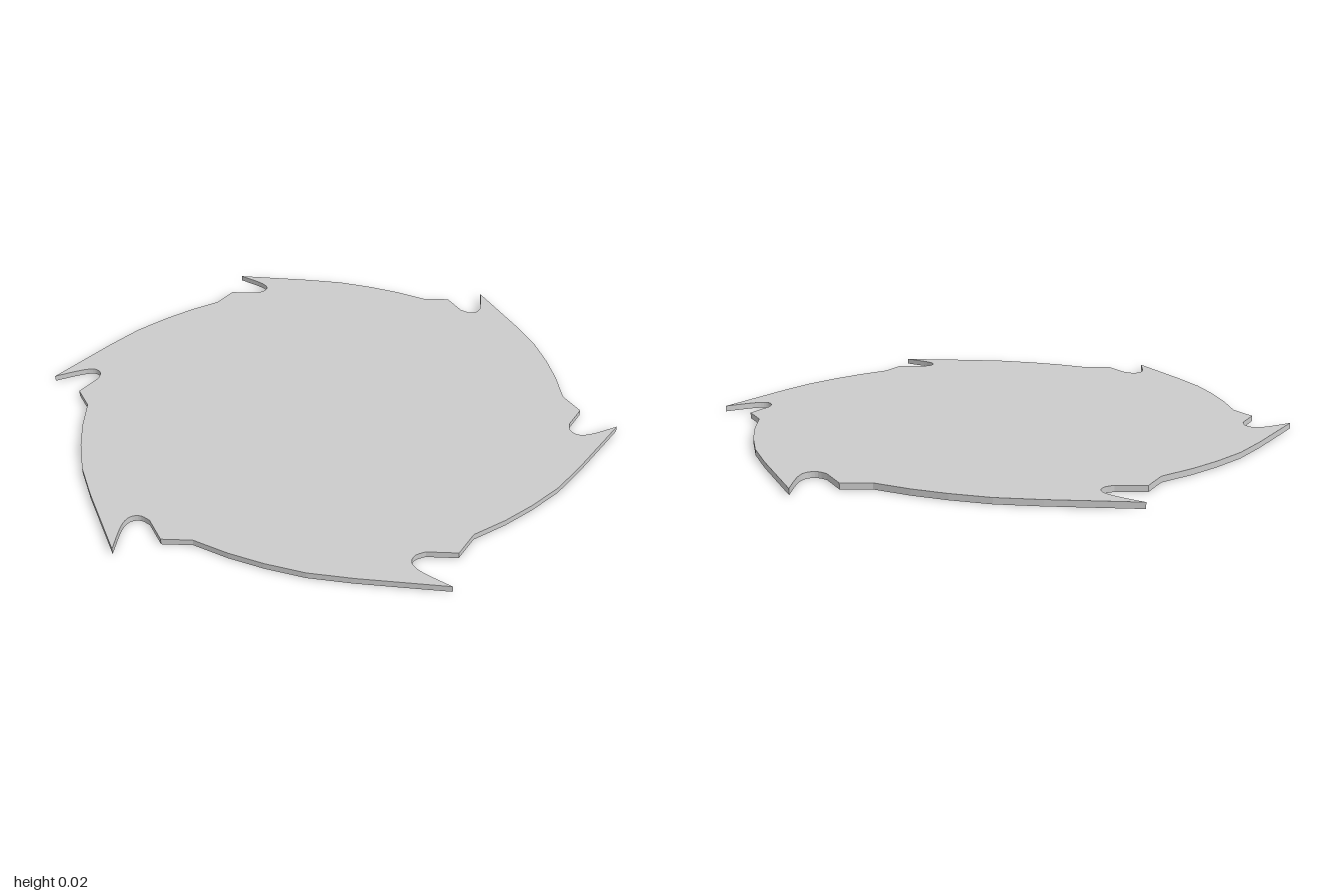
import * as THREE from 'three';

const TEETH = 6;
const THICKNESS = 0.02;

// One sixth of the rim, clockwise: shoulder peak, hooked gullet, tooth tip, curved back
const v = (x, y) => new THREE.Vector2(x, y);
const gullet = new THREE.SplineCurve([
  v(0.085, 0.84), v(0.12, 0.839), v(0.143, 0.857), v(0.146, 0.885), v(0.131, 0.925), v(0.09, 1.0),
]);
const sector = [
  v(0, 0.887),
  ...gullet.getPoints(15),
  v(0.325, 0.848), v(0.44, 0.766), v(0.533, 0.677), v(0.61, 0.59), v(0.683, 0.49),
];

export function createModel() {
  const group = new THREE.Group();
  group.name = 'sawBlade';

  // Repeat the sector around the centre to close the outline
  const outline = [];
  for (let i = 0; i < TEETH; i++) {
    const angle = -i * Math.PI * 2 / TEETH;
    for (const p of sector) outline.push(p.clone().rotateAround(v(0, 0), angle));
  }

  // Solid flat disc lying on the ground
  const geometry = new THREE.ExtrudeGeometry(new THREE.Shape(outline), {
    depth: THICKNESS, bevelEnabled: false,
  });
  geometry.rotateX(-Math.PI / 2);

  const blade = new THREE.Mesh(geometry, new THREE.MeshStandardMaterial({ color: 0xcccccc }));
  blade.name = 'toothedDisc';
  group.add(blade);
  return group;
}
